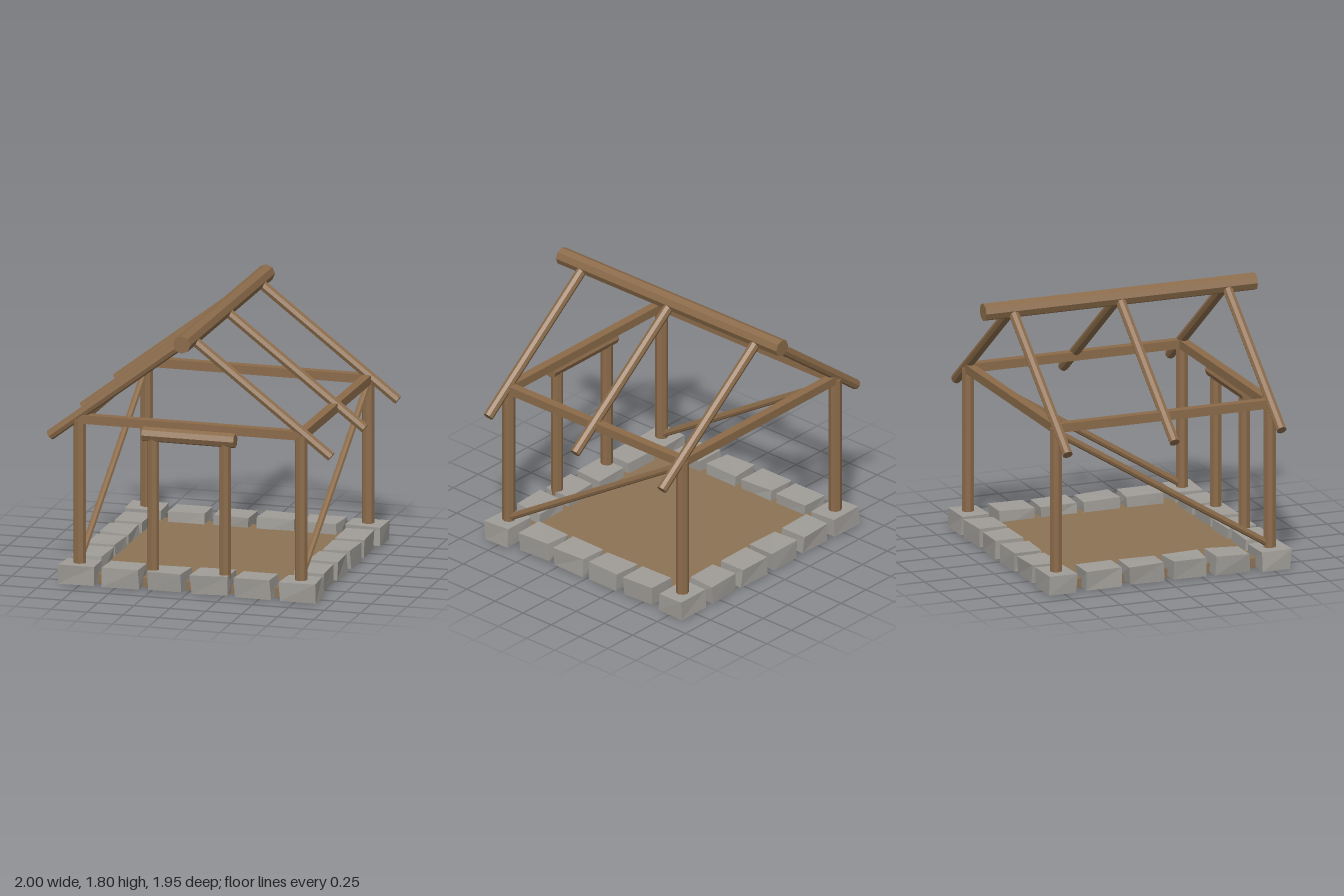
import * as THREE from 'three';

export function createModel() {
  const model = new THREE.Group();
  model.name = 'timberFrameHut';

  const material = (name, color) => {
    const m = new THREE.MeshStandardMaterial({ color, flatShading: true });
    m.name = name;
    return m;
  };
  const wood = material('timber', 0x8b6b4a);
  const earth = material('earthFloor', 0x8b7355);
  const stone = material('stone', 0xa09d98);

  let seed = 7;
  const jitter = (amount) => {
    seed = (seed * 16807) % 2147483647;
    return (seed / 2147483647 - 0.5) * 2 * amount;
  };

  const add = (name, geometry, mat) => {
    const mesh = new THREE.Mesh(geometry, mat);
    mesh.name = name;
    model.add(mesh);
    return mesh;
  };

  // Eight-sided log running between two points
  const up = new THREE.Vector3(0, 1, 0);
  const log = (name, from, to, radius) => {
    const a = new THREE.Vector3(...from);
    const b = new THREE.Vector3(...to);
    const dir = b.clone().sub(a);
    const mesh = add(name, new THREE.CylinderGeometry(radius, radius, dir.length(), 8), wood);
    mesh.position.copy(a).add(b).multiplyScalar(0.5);
    mesh.quaternion.setFromUnitVectors(up, dir.normalize());
  };

  const box = (name, size, position, mat) => {
    add(name, new THREE.BoxGeometry(...size), mat).position.set(...position);
  };

  // Rough block: each of the eight corners is nudged a little
  const block = (x, z, width, depth) => {
    const geometry = new THREE.BoxGeometry(width, 0.13, depth);
    const p = geometry.attributes.position;
    const nudges = Array.from({ length: 8 }, () => [jitter(0.01), jitter(0.005), jitter(0.01)]);
    for (let i = 0; i < p.count; i++) {
      const n = nudges[(p.getX(i) > 0 ? 1 : 0) + (p.getY(i) > 0 ? 2 : 0) + (p.getZ(i) > 0 ? 4 : 0)];
      p.setXYZ(i, p.getX(i) + n[0], p.getY(i) + n[1], p.getZ(i) + n[2]);
    }
    geometry.computeVertexNormals();
    add('foundationStone', geometry, stone).position.set(x, 0.072, z);
  };

  // Floor and ring of foundation stones
  const e = 0.77;
  box('floor', [2 * e, 0.064, 2 * e], [0, 0.032, 0], earth);
  for (const side of [-1, 1]) {
    for (let i = 0; i < 6; i++) {
      const t = -e + (i * 2 * e) / 5;
      block(t, side * e, 0.245, 0.2);
      if (i > 0 && i < 5) block(side * e, t, 0.2, 0.25);
    }
  }

  // Posts, wall plates and diagonal braces
  for (const s of [-1, 1]) {
    for (const z of [-e, e]) log('cornerPost', [s * e, 0.11, z], [s * e, 1.13, z], 0.044);
    box('crossBeam', [2 * e, 0.06, 0.06], [0, 1.13, s * e], wood);
    box('sideBeam', [0.06, 0.06, 2 * e], [s * e, 1.13, 0], wood);
    log('brace', [s * e, 0.15, e], [s * e, 1.1, -e], 0.024);
  }

  // Door frame
  for (const x of [-0.25, 0.25]) log('doorPost', [x, 0.11, 0.8], [x, 1.04, 0.8], 0.041);
  log('doorLintel', [-0.32, 1.065, 0.8], [0.32, 1.065, 0.8], 0.05);

  // Ridge pole and rafters
  log('ridgePole', [0, 1.745, -0.977], [0, 1.745, 0.977], 0.06);
  for (const z of [-e, 0, e]) {
    for (const s of [-1, 1]) log('rafter', [0, 1.745, z], [s * 0.978, 0.997, z], 0.035);
  }

  return model;
}
